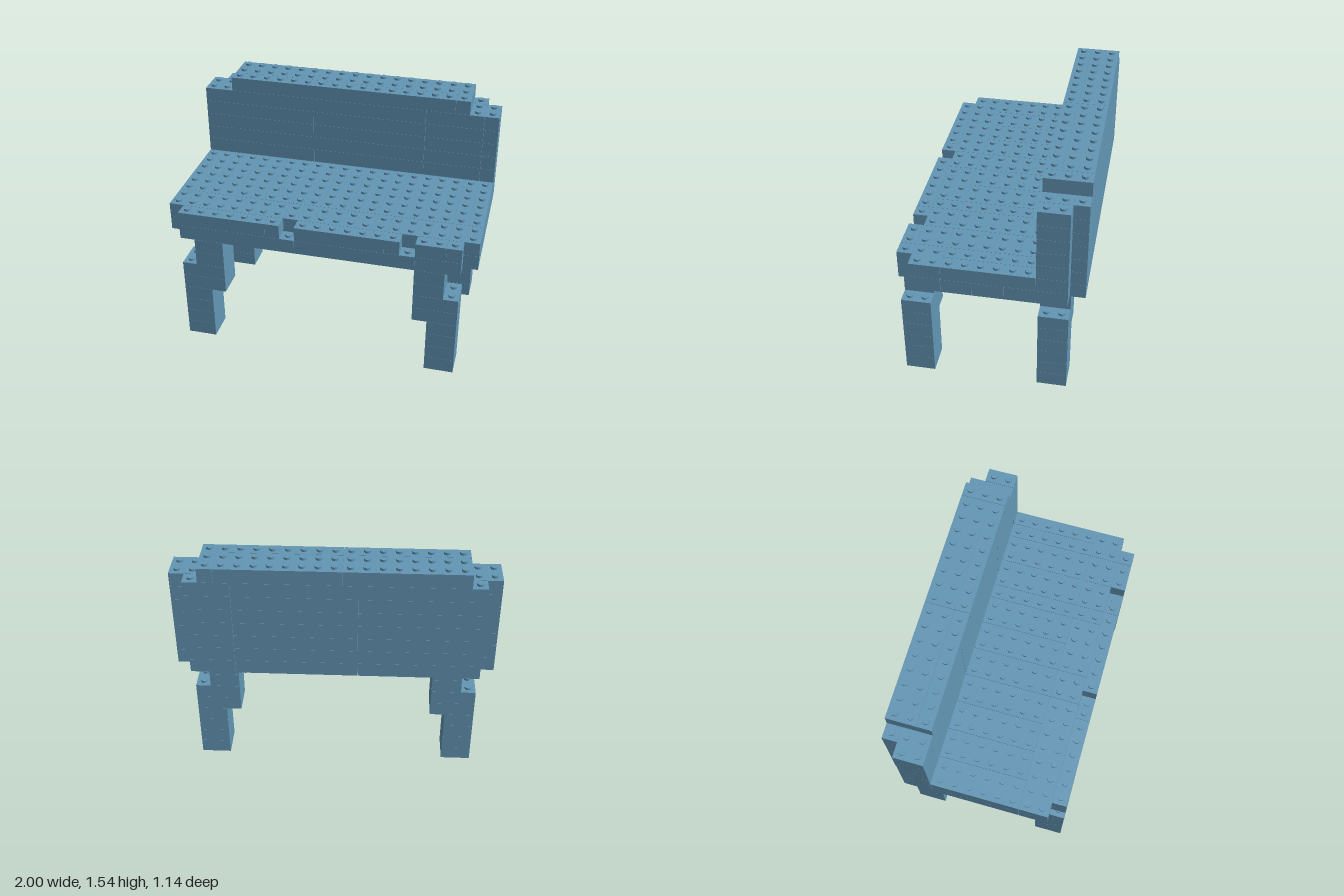
import * as THREE from 'three';
import { mergeGeometries } from 'three/addons/utils/BufferGeometryUtils.js';

const P = 2 / 21;            // stud pitch, also the height of one brick course
const COLS = 21, ROWS = 12;  // grid across x and z
const GAP = 0.0008;          // seam left around every brick
const STUD_R = 0.0215, STUD_H = 0.0145;

export function createModel() {
  const model = new THREE.Group();
  model.name = 'brickBench';
  const blue = new THREE.MeshStandardMaterial({ color: 0x6396b5 });
  blue.name = 'steel blue';

  const parts = {};              // part name -> list of bricks
  const filled = new Set();      // occupied grid cells
  const key = (i, j, k) => `${i},${j},${k}`;

  // One brick covering columns i0..i1 and rows j0..j1 in course k
  function brick(part, i0, i1, j0, j1, k) {
    (parts[part] ??= []).push({ i0, i1, j0, j1, k });
    for (let i = i0; i < i1; i++) for (let j = j0; j < j1; j++) filled.add(key(i, j, k));
  }
  // A run of bricks between successive column splits
  function run(part, splits, j0, j1, k) {
    for (let n = 0; n + 1 < splits.length; n++) brick(part, splits[n], splits[n + 1], j0, j1, k);
  }

  // Four stepped legs, mirrored left to right
  for (const [end, j] of [['front', 10], ['back', 1]]) {
    for (const side of ['Right', 'Left']) {
      for (let k = 0; k < 8; k++) {
        const a = k < 6 ? 1 : 2, b = k < 4 ? 3 : 4;
        const [i0, i1] = side === 'Right' ? [a, b] : [COLS - b, COLS - a];
        brick(`${end}${side}Leg`, i0, i1, j, j + 2, k);
      }
    }
  }

  // Lower seat course
  run('seatBase', [1, 9, 17, 20], 0, 1, 8);
  run('seatBase', [0, 8, 16, 21], 1, 3, 8);
  for (const j of [3, 5, 7]) run('seatBase', [0, 5, 13, 21], j, j + 2, 8);
  run('seatBase', [0, 8, 16, 21], 9, 11, 8);
  run('seatBase', [1, 9, 17, 20], 11, 12, 8);

  // Upper seat course, with two notches in the front row
  run('seatTop', [1, 9, 17, 20], 0, 1, 9);
  run('seatTop', [0, 8, 16, 20, 21], 1, 3, 9);
  run('seatTop', [0, 2, 4, 6, 8, 10, 12, 14, 15, 17, 19, 20, 21], 3, 9, 9);
  run('seatTop', [0, 8, 10, 14, 15, 17, 19, 21], 9, 11, 9);
  run('seatTop', [1, 7, 8], 11, 12, 9);
  run('seatTop', [9, 15, 16], 11, 12, 9);
  run('seatTop', [17, 19, 20], 11, 12, 9);

  // Backrest wall
  for (let k = 10; k < 15; k++) {
    run('backrest', [1, 9, 17, 20], 0, 1, k);
    run('backrest', [0, 8, 16, 20, 21], 1, 3, k);
  }

  // Top rail
  run('topRail', [2, 10, 18], 0, 2, 15);
  run('topRail', [2, 10, 18], 2, 3, 15);
  brick('topRail', 18, 19, 0, 3, 15);

  // Turn each part into one brick mesh and one stud mesh
  const studGeo = new THREE.CylinderGeometry(STUD_R, STUD_R, STUD_H, 16);
  for (const [name, bricks] of Object.entries(parts)) {
    const boxes = [], studs = [];
    for (const { i0, i1, j0, j1, k } of bricks) {
      const box = new THREE.BoxGeometry((i1 - i0) * P - 2 * GAP, P - GAP, (j1 - j0) * P - 2 * GAP);
      box.translate(((i0 + i1) / 2 - COLS / 2) * P, k * P + (P - GAP) / 2 + GAP, ((j0 + j1) / 2 - ROWS / 2) * P);
      boxes.push(box);
      for (let i = i0; i < i1; i++) {
        for (let j = j0; j < j1; j++) {
          if (filled.has(key(i, j, k + 1))) continue;
          studs.push(studGeo.clone().translate(
            (i + 0.5 - COLS / 2) * P, (k + 1) * P + STUD_H / 2, (j + 0.5 - ROWS / 2) * P));
        }
      }
    }
    const group = new THREE.Group();
    group.name = name;
    const add = (list, label) => {
      if (!list.length) return;
      const mesh = new THREE.Mesh(mergeGeometries(list), blue);
      mesh.name = name + label;
      group.add(mesh);
    };
    add(boxes, 'Bricks');
    add(studs, 'Studs');
    model.add(group);
  }
  return model;
}
